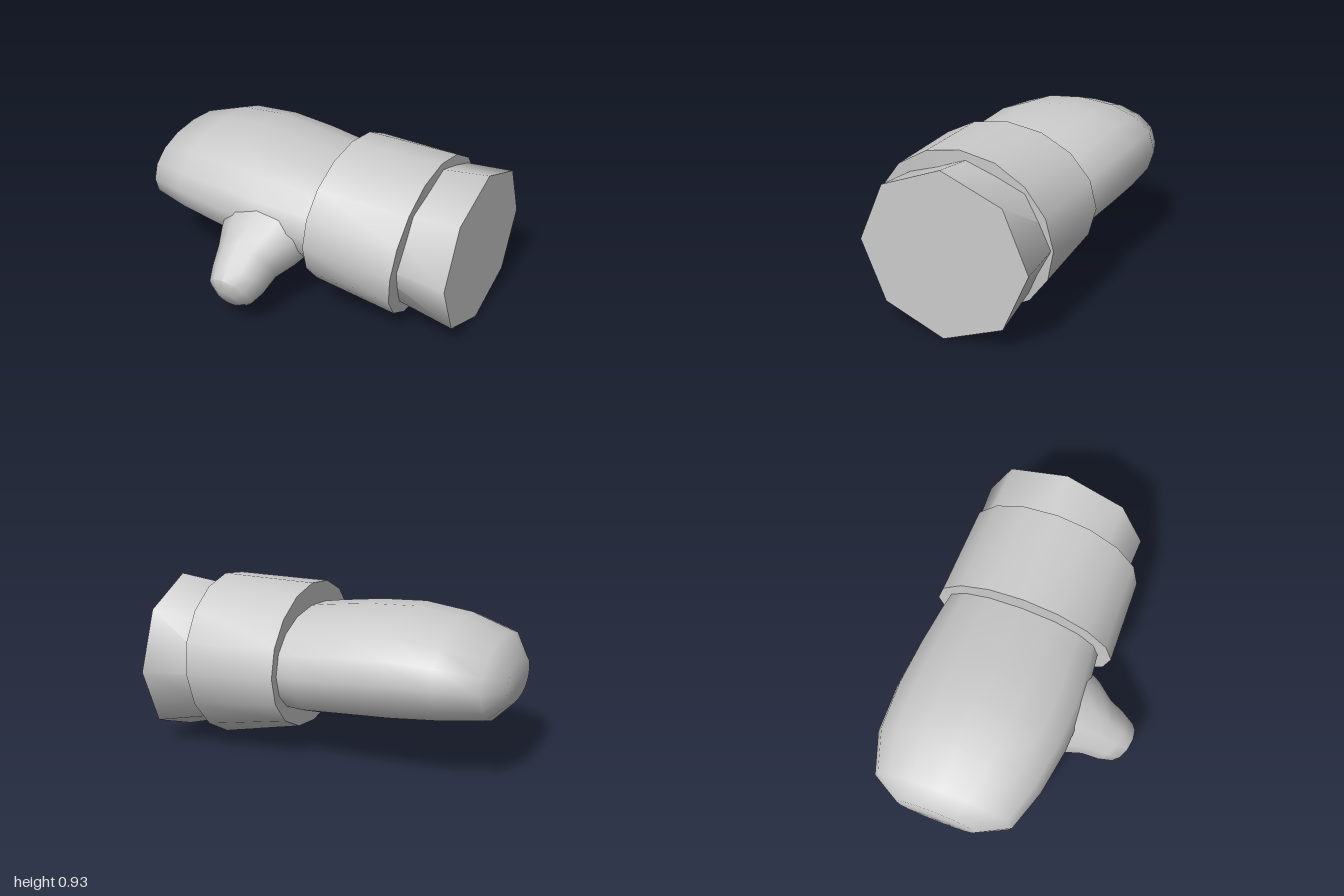
import * as THREE from 'three';
import { toCreasedNormals } from 'three/addons/utils/BufferGeometryUtils.js';

const material = new THREE.MeshStandardMaterial({ color: 0xcccccc });

// Capped skin over a list of rings, each ring an array of Vector3
function loft(name, rings) {
  const n = rings[0].length;
  const points = rings.flat();
  const index = [];
  for (let r = 0; r < rings.length - 1; r++) {
    for (let i = 0; i < n; i++) {
      const a = r * n + i, b = r * n + (i + 1) % n;
      index.push(a, a + n, b, b, a + n, b + n);
    }
  }
  const last = (rings.length - 1) * n;
  for (let i = 1; i < n - 1; i++) {
    index.push(0, i, i + 1, last, last + i + 1, last + i);
  }
  const geometry = new THREE.BufferGeometry().setFromPoints(points);
  geometry.setIndex(index);
  const mesh = new THREE.Mesh(toCreasedNormals(geometry, 0.9), material);
  mesh.name = name;
  return mesh;
}

// Ring of points: place(cos, sin) gives each position
function ring(sides, place) {
  return Array.from({ length: sides }, (_, i) => {
    const a = (i / sides) * Math.PI * 2;
    return place(Math.cos(a), Math.sin(a));
  });
}

// Upright ring across x, given its y and z extents; fuller < 1 squares it slightly
function crossRing(sides, xOf, y0, y1, z0, z1, fuller = 1) {
  const soft = (v) => Math.sign(v) * Math.abs(v) ** fuller;
  return ring(sides, (c, s) => {
    const y = (y0 + y1) / 2 + soft(s) * (y1 - y0) / 2;
    const z = (z0 + z1) / 2 + soft(c) * (z1 - z0) / 2;
    return new THREE.Vector3(xOf(y), y, z);
  });
}

export function createModel() {
  const group = new THREE.Group();
  group.name = 'mitten';

  // Mitten body: x, y range, z range
  const handSections = [
    [-0.99, 0.41, 0.63, -0.4, 0.06],
    [-0.9, 0.32, 0.75, -0.565, 0.235],
    [-0.67, 0.292, 0.825, -0.645, 0.31],
    [-0.4, 0.262, 0.855, -0.655, 0.35],
    [-0.14, 0.245, 0.84, -0.642, 0.355],
    [0.1, 0.23, 0.812, -0.62, 0.325],
    [0.3, 0.24, 0.78, -0.59, 0.3],
  ];
  group.add(loft('hand', handSections.map(([x, ...extents]) =>
    crossRing(16, () => x, ...extents, 0.92))));

  // Thumb, pointing forward and down: x, y, z of centre, half width, half height
  const thumbSections = [
    [-0.13, 0.45, 0.15, 0.3, 0.24],
    [-0.13, 0.38, 0.32, 0.235, 0.205],
    [-0.14, 0.33, 0.42, 0.178, 0.185],
    [-0.14, 0.265, 0.515, 0.155, 0.165],
    [-0.14, 0.225, 0.59, 0.125, 0.14],
    [-0.14, 0.2, 0.617, 0.065, 0.075],
  ];
  group.add(loft('thumb', thumbSections.map(([x, y, z, w, h]) =>
    ring(12, (c, s) => new THREE.Vector3(x - c * w, y + s * h * 0.85, z + s * h * 0.52)))));

  // Thick cuff whose wrist edge sweeps back towards the bottom
  const cuffEdge = (y) => 0.735 - 0.09 * ((0.93 - y) / 0.905) ** 2;
  group.add(loft('cuff', [
    crossRing(16, () => 0.2, 0.12, 0.92, -0.66, 0.393),
    crossRing(16, cuffEdge, 0.025, 0.93, -0.657, 0.367),
  ]));

  // Eight-sided forearm stub
  group.add(loft('forearm', [
    crossRing(8, () => 0.5, 0.13, 0.85, -0.63, 0.29),
    crossRing(8, (y) => 0.985 + y * 0.008, 0.005, 0.915, -0.66, 0.295),
  ]));

  return group;
}
